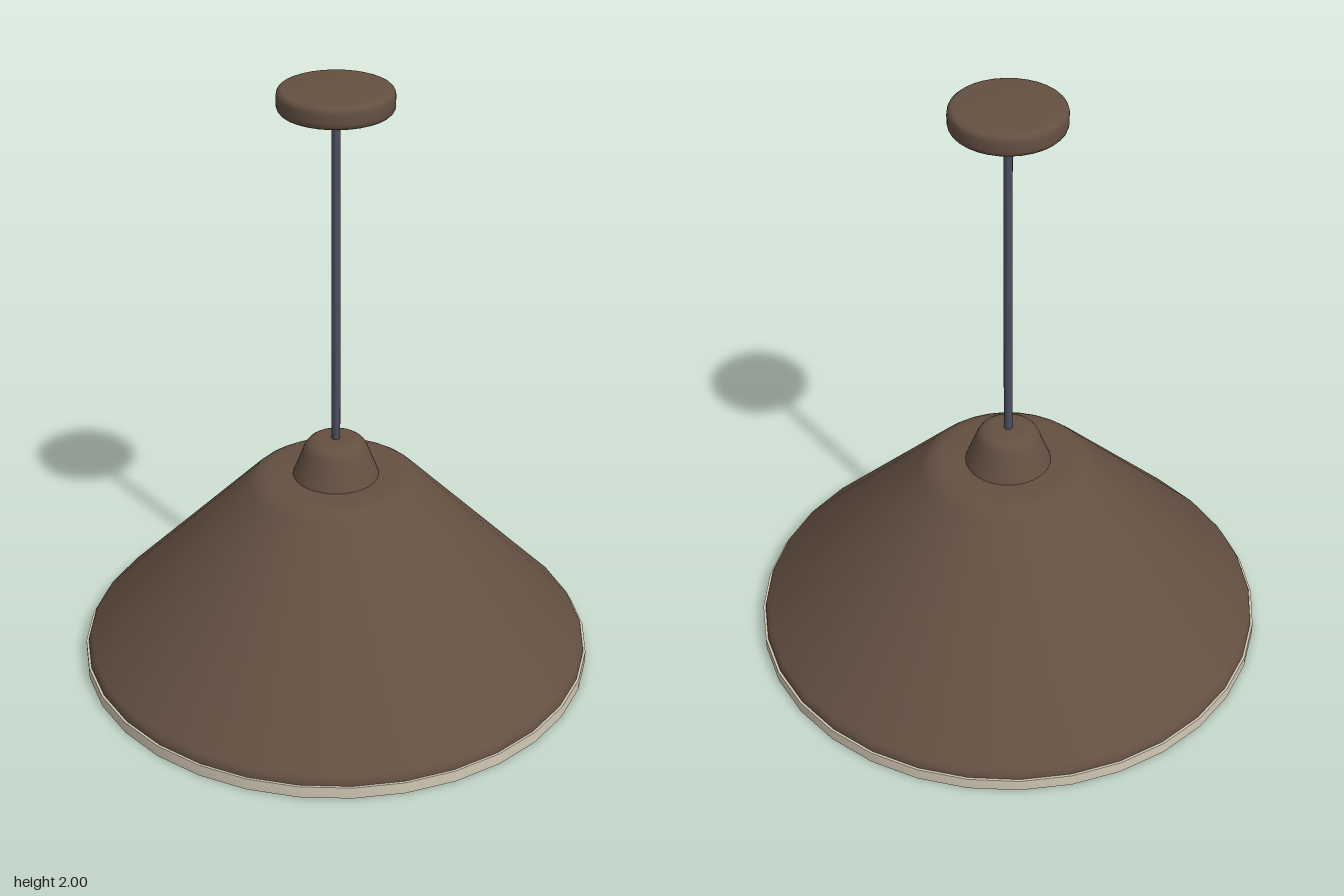
import * as THREE from 'three';
import { toCreasedNormals } from 'three/addons/utils/BufferGeometryUtils.js';

const bronze = new THREE.MeshStandardMaterial({ name: 'bronze brown', color: 0x645042 });
const cream = new THREE.MeshStandardMaterial({ name: 'cream diffuser', color: 0xd2c8b4 });
const steel = new THREE.MeshStandardMaterial({ name: 'blue grey rod', color: 0x4c4c5e });

// Turns a profile, listed bottom to top as [radius, y, cornerRadius], into a solid.
function turned(name, corners, material, sides = 32) {
  const pts = corners.map(([r, y]) => new THREE.Vector2(r, y));
  const path = new THREE.Path().moveTo(pts[0].x, pts[0].y);
  corners.forEach(([, , round = 0], i) => {
    if (i === 0) return;
    const p = pts[i];
    if (!round) {
      path.lineTo(p.x, p.y);
      return;
    }
    const toward = (q) => p.clone().add(q.clone().sub(p).setLength(round));
    const a = toward(pts[i - 1]);
    const b = toward(pts[i + 1]);
    path.lineTo(a.x, a.y);
    path.quadraticCurveTo(p.x, p.y, b.x, b.y);
  });
  const lathe = new THREE.LatheGeometry(path.getPoints(5), sides);
  const mesh = new THREE.Mesh(toCreasedNormals(lathe, 0.6), material);
  mesh.name = name;
  return mesh;
}

export function createModel() {
  const lamp = new THREE.Group();
  lamp.name = 'pendantLamp';
  lamp.add(
    // Closed light panel with a thin visible rim under the shade
    turned('diffuser', [[0, 0], [0.85, 0], [0.85, 0.04], [0, 0.04]], cream),
    // Wide conical shade with softened lip and shoulder
    turned('shade', [[0, 0.035], [0.842, 0.035], [0.842, 0.06, 0.02], [0.256, 0.67, 0.045], [0, 0.67]], bronze),
    // Tapered socket cover on top of the shade
    turned('socketCap', [[0, 0.665], [0.143, 0.665], [0.092, 0.8, 0.04], [0, 0.8]], bronze),
    // Hanging rod
    turned('rod', [[0, 0.79], [0.014, 0.79], [0.014, 1.94], [0, 1.94]], steel, 16),
    // Ceiling mount
    turned('ceilingMount', [[0, 1.925], [0.182, 1.925, 0.025], [0.182, 2, 0.025], [0, 2]], bronze),
  );
  return lamp;
}
